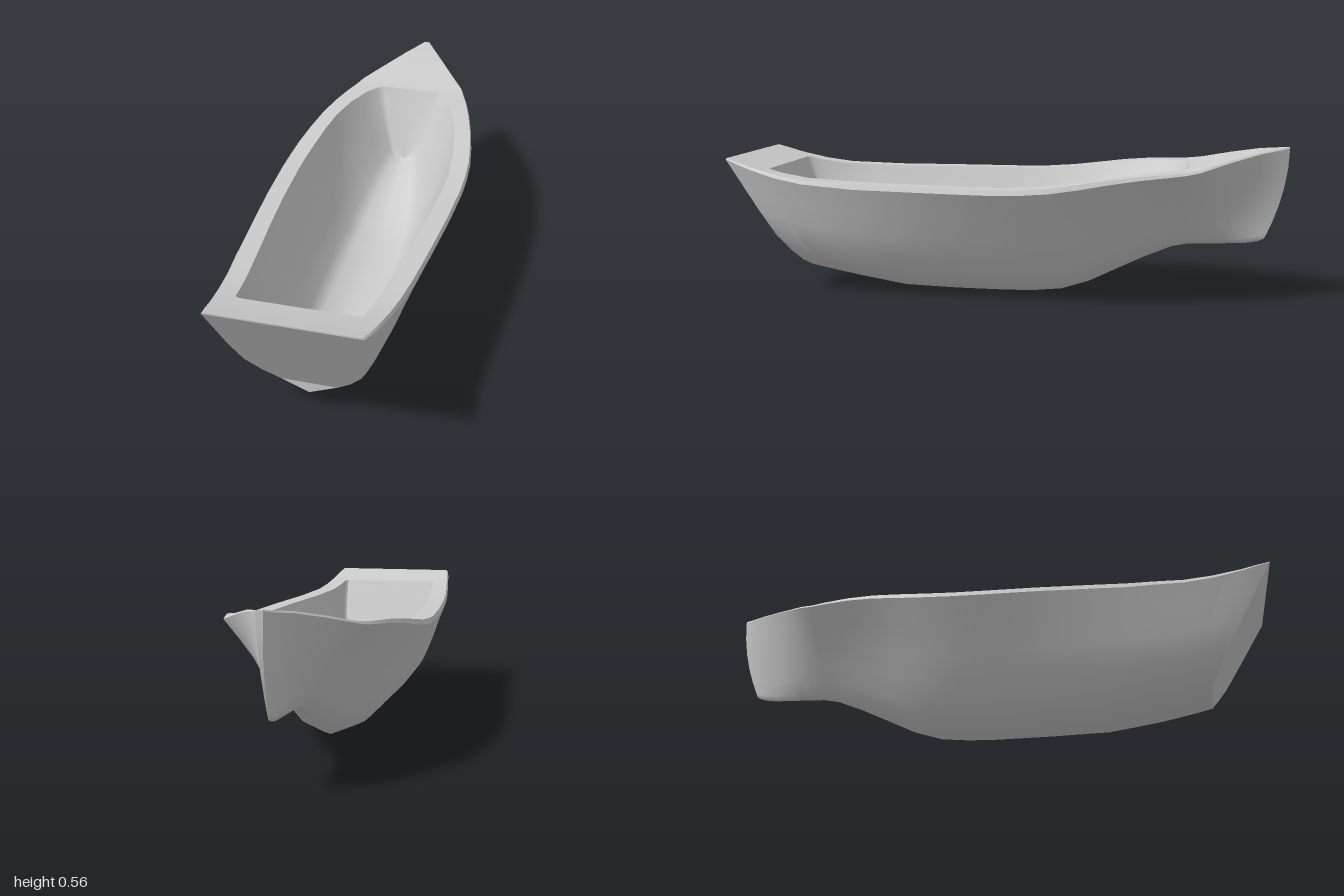
import * as THREE from 'three';

// Piecewise linear lookup in a list of [key, value], keys falling
function look(table, k) {
  if (k >= table[0][0]) return table[0][1];
  for (let i = 1; i < table.length; i++) {
    const [a, va] = table[i - 1], [b, vb] = table[i];
    if (k >= b) return va + (vb - va) * (a - k) / (a - b);
  }
  return table[table.length - 1][1];
}

// Lines of the boat, all by z
const BEAM = [[1, .243], [.95, .253], [.8, .273], [.6, .297], [.4, .315], [.2, .331], [0, .341], [-.1, .341],
  [-.2, .336], [-.3, .322], [-.4, .303], [-.5, .279], [-.6, .25], [-.7, .213], [-.8, .142], [-.9, .075], [-1, .012]];
const SHEER = [[1, .505], [.9, .475], [.8, .452], [.7, .438], [.5, .431], [0, .43], [-.1, .433], [-.2, .441],
  [-.3, .455], [-.4, .47], [-.5, .481], [-.65, .491], [-.7, .499], [-.8, .526], [-.9, .549], [-1, .562]];
const KEEL = [[.775, .068], [.6, .036], [.4, .005], [.2, .001], [0, .002], [-.1, .006], [-.2, .017], [-.3, .05],
  [-.4, .1], [-.5, .15], [-.6, .193], [-.66, .206], [-.85, .214], [-.9, .222], [-.93, .236]];
const OPENING = [[.855, .185], [.845, .198], [.8, .203], [.6, .225], [.4, .246], [.2, .262], [0, .272], [-.1, .272],
  [-.2, .266], [-.3, .255], [-.4, .237], [-.5, .208], [-.6, .165], [-.64, .132], [-.655, .11]];
const RIM_DEPTH = [[1, .005], [.8, .012], [.5, .018], [-.3, .018], [-.7, .008], [-1, .005]];
const OPEN_FRONT = .855, OPEN_BACK = -.655;

// Half sections as [share of half width, share of height], keel to rim
const TRANSOM = [[0, 0], [.39, .09], [.6, .2], [.78, .34], [.88, .56], [.94, .78], [1, 1]];
const MIDSHIP = [[0, 0], [.3, .1], [.44, .22], [.58, .38], [.71, .57], [.85, .78], [1, 1]];
const BOW = [[0, 0], [.1, .06], [.22, .2], [.37, .38], [.55, .58], [.77, .79], [1, 1]];
const INSIDE = [[0, 0], [.34, .03], [.49, .13], [.65, .33], [.79, .56], [.9, .78], [1, 1]];
const INSIDE_FRONT = [[0, 0], [.5, .02], [.74, .12], [.92, .36], [.98, .58], [1, .8], [1, 1]];
const INSIDE_BACK = [[0, 0], [.27, .04], [.42, .15], [.58, .36], [.74, .58], [.88, .79], [1, 1]];

const STATIONS = [1, .95, .9, .855, .845, .8, .7, .6, .5, .4, .3, .2, .1, 0, -.1, -.15, -.2, -.25, -.3, -.35, -.4,
  -.45, -.5, -.55, -.6, -.64, -.655, -.7, -.75, -.8, -.85, -.9, -.94, -.97, -1];

const ramp = (z, from, to) => THREE.MathUtils.clamp((z - from) / (to - from), 0, 1);
const ease = (t) => t * t * (3 - 2 * t);

// Section made of a middle shape drawn towards a front and a back shape
function blend(middle, front, back, toFront, toBack) {
  return middle.map((p, i) => p.map((v, k) => v + (front[i][k] - v) * toFront + (back[i][k] - v) * toBack));
}

// Skin over rows of points; skip(i, j) leaves a quad out
function skin(name, rows, flip = false, skip = () => false) {
  const n = rows[0].length, index = [];
  for (let i = 0; i < rows.length - 1; i++) {
    for (let j = 0; j < n - 1; j++) {
      if (skip(i, j)) continue;
      const a = i * n + j, b = a + n, c = b + 1, d = a + 1;
      if (flip) index.push(a, d, c, a, c, b);
      else index.push(a, b, c, a, c, d);
    }
  }
  const geometry = new THREE.BufferGeometry();
  geometry.setAttribute('position', new THREE.Float32BufferAttribute(rows.flat(2), 3));
  geometry.setIndex(index);
  geometry.computeVertexNormals();
  const mesh = new THREE.Mesh(geometry, new THREE.MeshStandardMaterial({ color: 0xcccccc, side: THREE.DoubleSide }));
  mesh.name = name;
  return mesh;
}

// Full section from left rim, down to the keel, up to right rim
function mirror(half) {
  const left = half.slice().reverse();
  return [...left, ...half.slice(1).map(([x, y, z]) => [-x, y, z])];
}

// End wall joining the two sides of one section, rows from first to last
function endWall(name, section, flip, first = 0, last = (section.length - 1) / 2) {
  const rows = [];
  for (let i = first; i <= last; i++) rows.push([section[i], section[section.length - 1 - i]]);
  return skin(name, rows, flip);
}

function hullSection(z) {
  const foot = z - .225 * ramp(z, .4, 1) + .075 * ramp(z, -.75, -1);
  const top = look(SHEER, z) - look(RIM_DEPTH, z), keel = look(KEEL, foot), w = look(BEAM, z);
  const shape = blend(MIDSHIP, TRANSOM, BOW, ramp(z, .1, 1), ease(ramp(z, -.05, -.72)));
  // The transom leans back above a short upright foot; the stem is curved
  const lean = (fy) => (z > 0 ? Math.min(1, (1 - fy) / .91) : (1 - fy) ** 2);
  return mirror(shape.map(([fx, fy]) => [fx * w, keel + (top - keel) * fy, z + (foot - z) * lean(fy)]));
}

function insideSection(z) {
  const foot = z - .12 * ramp(z, .3, OPEN_FRONT) + .1 * ramp(z, -.25, OPEN_BACK);
  const top = look(SHEER, z), floor = look(KEEL, foot) + .045, w = look(OPENING, z);
  const shape = blend(INSIDE, INSIDE_FRONT, INSIDE_BACK, ramp(z, .58, OPEN_FRONT), ease(ramp(z, -.1, OPEN_BACK)));
  return mirror(shape.map(([fx, fy]) => [fx * w, floor + (top - floor) * fy, z + (foot - z) * (1 - fy)]));
}

// Rim and decks: bevelled outer edge, flat top, opening edge
function deckRow(z) {
  const w = look(BEAM, z), y = look(SHEER, z), low = y - look(RIM_DEPTH, z);
  const open = Math.min(look(OPENING, z), w * .85), edge = Math.max(w - .006, w * .9);
  return [[w, low, z], [edge, y, z], [open, y, z], [-open, y, z], [-edge, y, z], [-w, low, z]];
}

export function createModel() {
  const boat = new THREE.Group();
  boat.name = 'boat';

  // Outer hull with transom and stem
  const hull = STATIONS.map(hullSection);
  boat.add(skin('hull', hull, true));
  boat.add(endWall('transom', hull[0], true, 0, 5));
  boat.add(endWall('transomFoot', hull[0], true, 5));
  boat.add(endWall('stem', hull[hull.length - 1], false));

  // Deck ring, left open over the cockpit
  const inOpening = (i) => STATIONS[i] <= OPEN_FRONT && STATIONS[i + 1] >= OPEN_BACK;
  const deck = STATIONS.map(deckRow);
  boat.add(skin('deckTop', deck.map((r) => r.slice(1, 5)), false, (i, j) => j === 1 && inOpening(i)));
  boat.add(skin('leftRimEdge', deck.map((r) => r.slice(0, 2))));
  boat.add(skin('rightRimEdge', deck.map((r) => r.slice(4, 6))));
  const lip = (row) => [[row[0], row[5]], [row[1], row[4]]];
  boat.add(skin('transomRimEdge', lip(deck[0])));
  boat.add(skin('stemRimEdge', lip(deck[deck.length - 1]), true));

  // Cockpit lining, its back end closed smoothly on the centre line
  const inside = STATIONS.filter((z) => z <= OPEN_FRONT && z >= OPEN_BACK).map(insideSection);
  const backEnd = inside[inside.length - 1].map(([, y, z]) => [0, y, z]);
  boat.add(skin('cockpitLining', [...inside, backEnd]));
  boat.add(endWall('cockpitFrontWall', inside[0], false));

  return boat;
}
